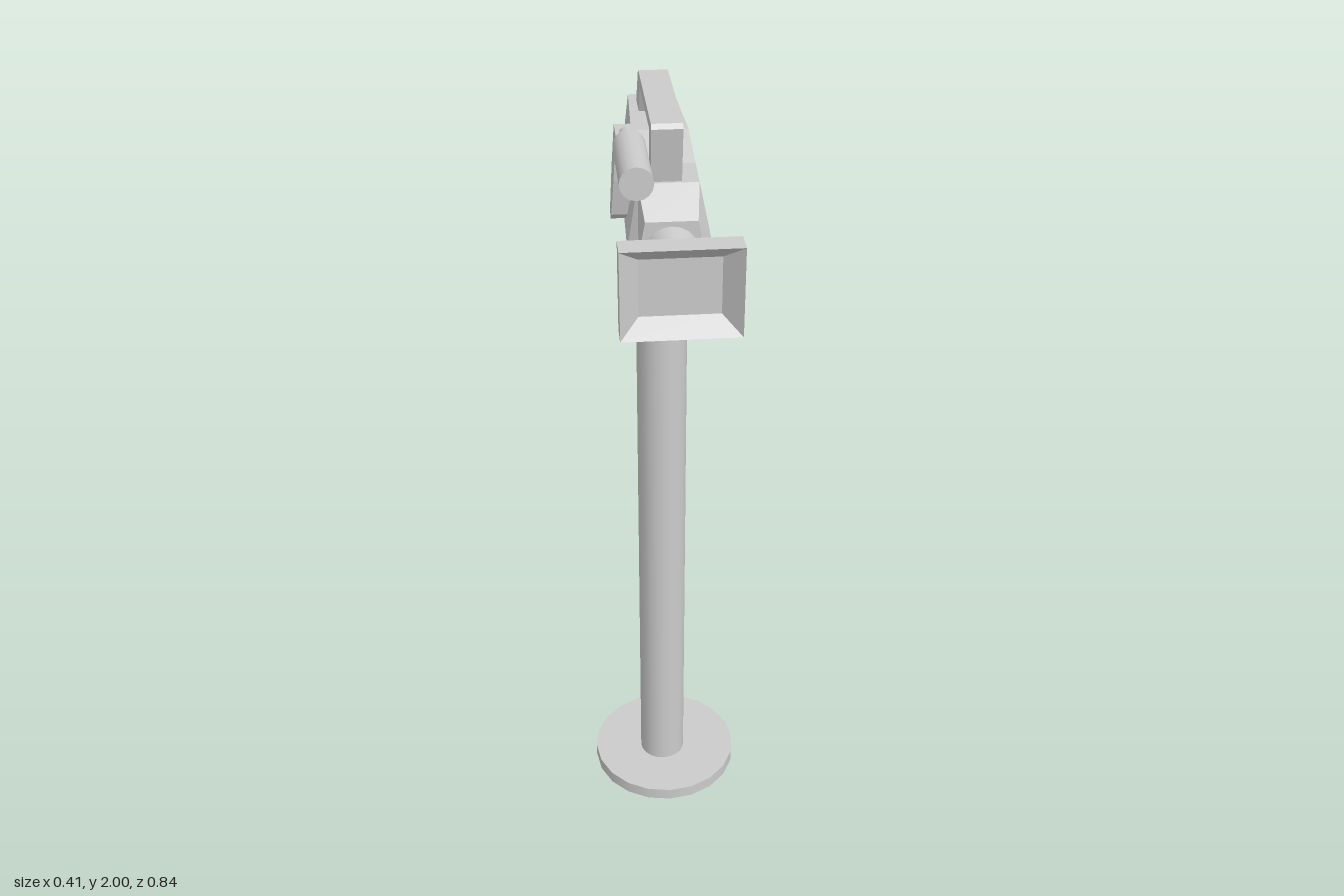
import * as THREE from 'three';

const flat = new THREE.MeshStandardMaterial({ color: 0xcccccc, flatShading: true });
const smooth = new THREE.MeshStandardMaterial({ color: 0xcccccc });

// Joins closed rings of [x, y, z] (anticlockwise seen from +z, ordered back to front) and caps both ends.
function loft(rings) {
  const n = rings[0].length, index = [];
  for (let i = 0; i < rings.length - 1; i++) {
    for (let j = 0; j < n; j++) {
      const a = i * n + j, b = i * n + (j + 1) % n;
      index.push(a, b, b + n, a, b + n, a + n);
    }
  }
  const last = (rings.length - 1) * n;
  for (let j = 1; j < n - 1; j++) {
    index.push(0, j + 1, j, last, last + j, last + j + 1);
  }
  const g = new THREE.BufferGeometry();
  g.setAttribute('position', new THREE.Float32BufferAttribute(rings.flat(2), 3));
  g.setIndex(index);
  g.computeVertexNormals();
  return g;
}

// Side outline of [z, y] points given thickness from x0 to x1.
function sidePlate(points, x0, x1) {
  const shape = new THREE.Shape(points.map(([z, y]) => new THREE.Vector2(z, y)));
  const g = new THREE.ExtrudeGeometry(shape, { depth: x1 - x0, bevelEnabled: false });
  return g.rotateY(-Math.PI / 2).translate(x1, 0, 0);
}

const rect = (x0, x1, y0, y1, z) => [[x1, y0, z], [x1, y1, z], [x0, y1, z], [x0, y0, z]];

export function createModel() {
  const model = new THREE.Group();
  const add = (name, geometry, material = flat) => {
    const mesh = new THREE.Mesh(geometry, material);
    mesh.name = name;
    model.add(mesh);
    return mesh;
  };

  // Pedestal
  add('base', new THREE.CylinderGeometry(0.203, 0.203, 0.035, 20), smooth).position.set(0, 0.0175, 0);
  add('pole', new THREE.CylinderGeometry(0.063, 0.063, 1.51, 20), smooth).position.set(-0.007, 0.787, 0.007);
  add('mountPlate', new THREE.BoxGeometry(0.16, 0.028, 0.155)).position.set(-0.009, 1.562, 0.007);

  // Camera body: each station holds bottom, middle and top as [half width, y, z]
  const stations = [
    [[0.055, 1.595, -0.385], [0.073, 1.73, -0.42], [0.058, 1.9, -0.372]],
    [[0.068, 1.582, -0.12], [0.09, 1.73, -0.12], [0.068, 1.9, -0.12]],
    [[0.07, 1.575, -0.01], [0.094, 1.73, -0.01], [0.073, 1.86, -0.005]],
    [[0.065, 1.58, 0.165], [0.098, 1.72, 0.15], [0.07, 1.86, 0.11]],
    [[0.06, 1.63, 0.187], [0.075, 1.72, 0.187], [0.06, 1.8, 0.187]],
  ];
  add('cameraBody', loft(stations.map((s) => [
    ...s.map(([w, y, z]) => [w, y, z]),
    ...s.slice().reverse().map(([w, y, z]) => [-w, y, z]),
  ])));

  // Waisted lens barrel
  const barrel = [[0.065, 0.17], [0.061, 0.22], [0.056, 0.28], [0.058, 0.32], [0.063, 0.365]]
    .map(([r, z]) => new THREE.Vector2(r, z));
  add('lensBarrel', new THREE.LatheGeometry(barrel, 20).rotateX(Math.PI / 2), smooth).position.y = 1.725;

  // Lens hood with a funnel-shaped recess
  add('lensHood', loft([
    rect(-0.133, 0.135, 1.628, 1.838, 0.36),
    rect(-0.133, 0.135, 1.628, 1.838, 0.42),
    rect(-0.09, 0.092, 1.665, 1.8, 0.375),
  ]));

  // Carrying handle
  add('handle', sidePlate([
    [0.1, 1.85], [0.125, 1.99], [0.115, 2], [-0.25, 2], [-0.268, 1.99], [-0.335, 1.895],
    [-0.25, 1.895], [-0.215, 1.972], [0.07, 1.972], [0.05, 1.85],
  ], -0.04, 0.031));

  // Viewfinder arm, leaning outwards towards its lower end
  const arm = sidePlate([
    [0.075, 1.96], [0, 1.96], [-0.012, 1.86], [-0.005, 1.76], [0.02, 1.74], [0.045, 1.76], [0.065, 1.85],
  ], -0.115, -0.065);
  const p = arm.attributes.position;
  for (let i = 0; i < p.count; i++) p.setX(i, p.getX(i) + (p.getY(i) - 1.96) * 0.06);
  arm.computeVertexNormals();
  add('viewfinderArm', arm);

  // Viewfinder tube and its neck
  for (const [name, r, z0, z1] of [['viewfinderNeck', 0.019, 0.04, 0.14], ['viewfinderTube', 0.037, 0.13, 0.35]]) {
    const g = new THREE.CylinderGeometry(r, r, z1 - z0, 16).rotateX(Math.PI / 2);
    add(name, g, smooth).position.set(-0.089, name === 'viewfinderNeck' ? 1.95 : 1.958, (z0 + z1) / 2);
  }

  return model;
}
